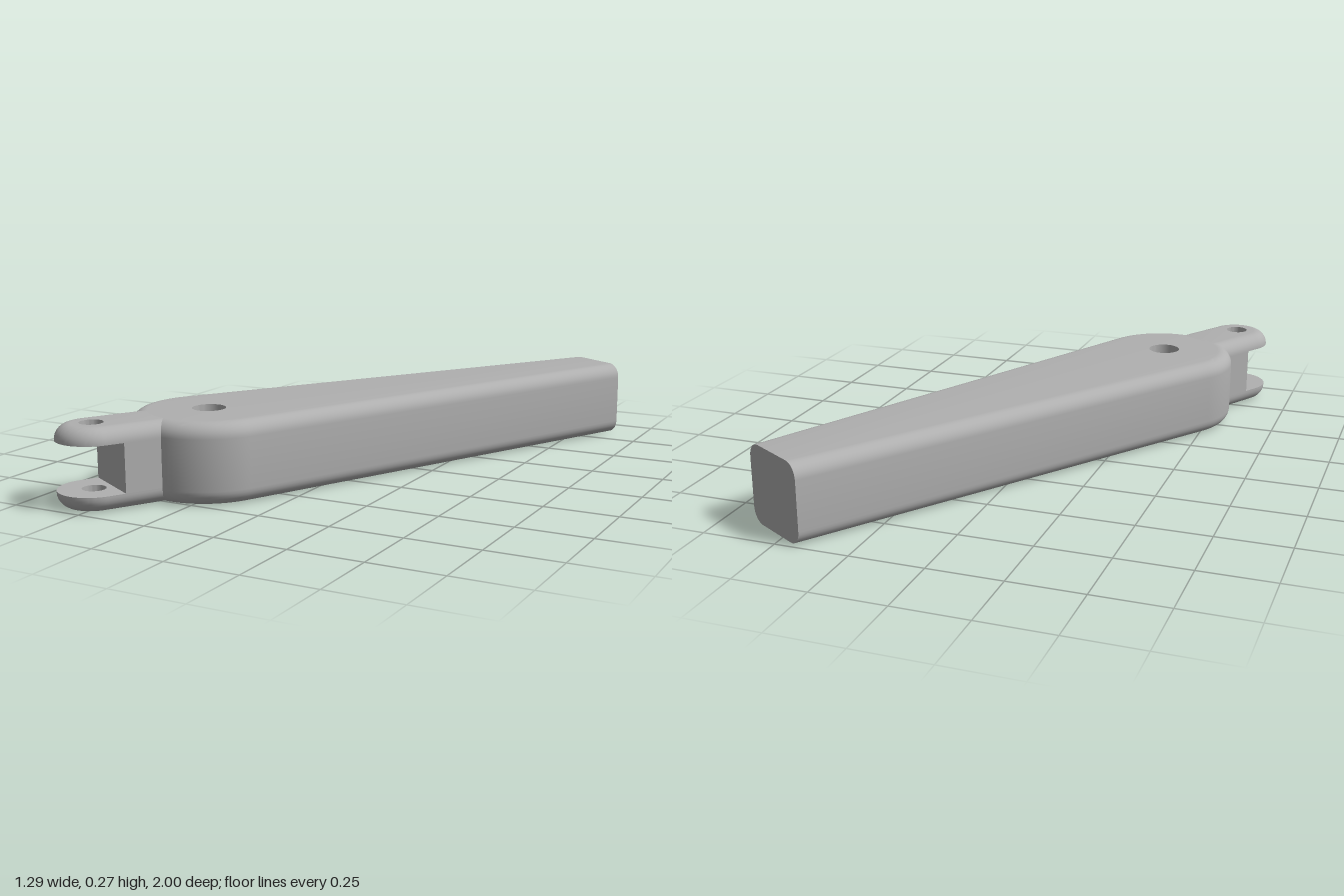
import * as THREE from 'three';
import { mergeGeometries, toCreasedNormals } from 'three/addons/utils/BufferGeometryUtils.js';

const H = 0.27;                       // overall height
const FILLET = 0.05;                  // rounded edge radius
const SLOT = [0.055, 0.218];          // clevis slot, bottom and top
const R = 0.255, L = 1.69, W = 0.135; // pivot radius, arm length, tip half width
const EAR_X = -0.41, EAR_R = 0.117;   // clevis pin position and radius
const SLOT_END = -0.35, NECK_END = -0.19;

// Points along an arc, counter-clockwise
function arc(cx, r, from, to, steps = 48) {
  return Array.from({ length: steps + 1 }, (_, i) => {
    const a = from + (to - from) * i / steps;
    return new THREE.Vector2(cx + r * Math.cos(a), r * Math.sin(a));
  });
}

// Tapered arm outline, inset by d from the sides but not from the flat tip
function armOutline(d) {
  const alpha = Math.asin(R / Math.hypot(L, W)) - Math.atan2(W, L);
  const b = Math.PI / 2 - alpha, w = W - d / Math.cos(alpha);
  return [...arc(0, R - d, b, 2 * Math.PI - b),
    new THREE.Vector2(L, -w), new THREE.Vector2(L, w)];
}

// Clevis ear outline, inset by d
function earOutline(d) {
  const r = EAR_R - d;
  return [...arc(EAR_X, r, Math.PI / 2, Math.PI * 1.5),
    new THREE.Vector2(NECK_END, -r), new THREE.Vector2(NECK_END, r)];
}

// Slab with optional fillets at the bottom and top and one round through hole
function filletedSlab(outline, y0, y1, f0, f1, holeX, holeR) {
  const layers = [], n = 8;
  for (let i = 0; i <= (f0 ? n : 0); i++) {
    const a = i / n * Math.PI / 2;
    layers.push([f0 * (1 - Math.sin(a)), y0 + f0 * (1 - Math.cos(a))]);
  }
  for (let i = f1 ? 0 : n; i <= n; i++) {
    const a = i / n * Math.PI / 2;
    layers.push(f1 ? [f1 * (1 - Math.cos(a)), y1 - f1 * (1 - Math.sin(a))] : [0, y1]);
  }
  // Side walls lofted through the layers
  const rings = layers.map(([d, y]) => outline(d).map(p => [p.x, y, -p.y]));
  const pos = [];
  for (let k = 0; k + 1 < rings.length; k++) {
    const lo = rings[k], hi = rings[k + 1];
    lo.forEach((a, i) => {
      const j = (i + 1) % lo.length;
      pos.push(...a, ...lo[j], ...hi[j], ...a, ...hi[j], ...hi[i]);
    });
  }
  // Bore wall, facing inwards
  const bore = arc(holeX, holeR, 0, 2 * Math.PI);
  for (let i = 0; i + 1 < bore.length; i++) {
    const p = bore[i], q = bore[i + 1];
    const a = [p.x, y0, -p.y], b = [q.x, y0, -q.y];
    const c = [q.x, y1, -q.y], d = [p.x, y1, -p.y];
    pos.push(...b, ...a, ...d, ...b, ...d, ...c);
  }
  const walls = new THREE.BufferGeometry();
  walls.setAttribute('position', new THREE.Float32BufferAttribute(pos, 3));
  // Flat faces with the hole cut out
  const cap = (d, y, side) => {
    const shape = new THREE.Shape(outline(d));
    shape.holes.push(new THREE.Path(bore.slice(0, -1).reverse()));
    const g = new THREE.ShapeGeometry(shape).toNonIndexed();
    g.deleteAttribute('uv');
    g.deleteAttribute('normal');
    return g.rotateX(-side * Math.PI / 2).translate(0, y, 0);
  };
  return toCreasedNormals(mergeGeometries([walls, cap(f0, y0, -1), cap(f1, y1, 1)]), 0.6);
}

export function createModel() {
  const group = new THREE.Group();
  group.name = 'leverArm';
  const grey = new THREE.MeshStandardMaterial({ color: 0xb0b0b0 });
  grey.name = 'grey';
  const add = (name, geometry) => {
    const mesh = new THREE.Mesh(geometry, grey);
    mesh.name = name;
    group.add(mesh);
    return mesh;
  };

  // Main tapered arm with pivot hole
  add('arm', filletedSlab(armOutline, 0, H, FILLET, FILLET, 0, 0.056));

  // Two clevis ears with pin holes
  add('lowerEar', filletedSlab(earOutline, 0, SLOT[0], FILLET, 0, EAR_X, 0.039));
  add('upperEar', filletedSlab(earOutline, SLOT[1], H, 0, FILLET, EAR_X, 0.039));

  // Solid neck behind the slot
  add('neck', new THREE.BoxGeometry(NECK_END - SLOT_END, SLOT[1] - SLOT[0], EAR_R * 2))
    .position.set((NECK_END + SLOT_END) / 2, (SLOT[0] + SLOT[1]) / 2, 0);

  // Swing the arm about its pivot into place
  group.rotation.y = THREE.MathUtils.degToRad(59.7);
  group.position.set(-0.321, 0, 0.529);
  const model = new THREE.Group();
  model.name = 'lever';
  model.add(group);
  return model;
}
